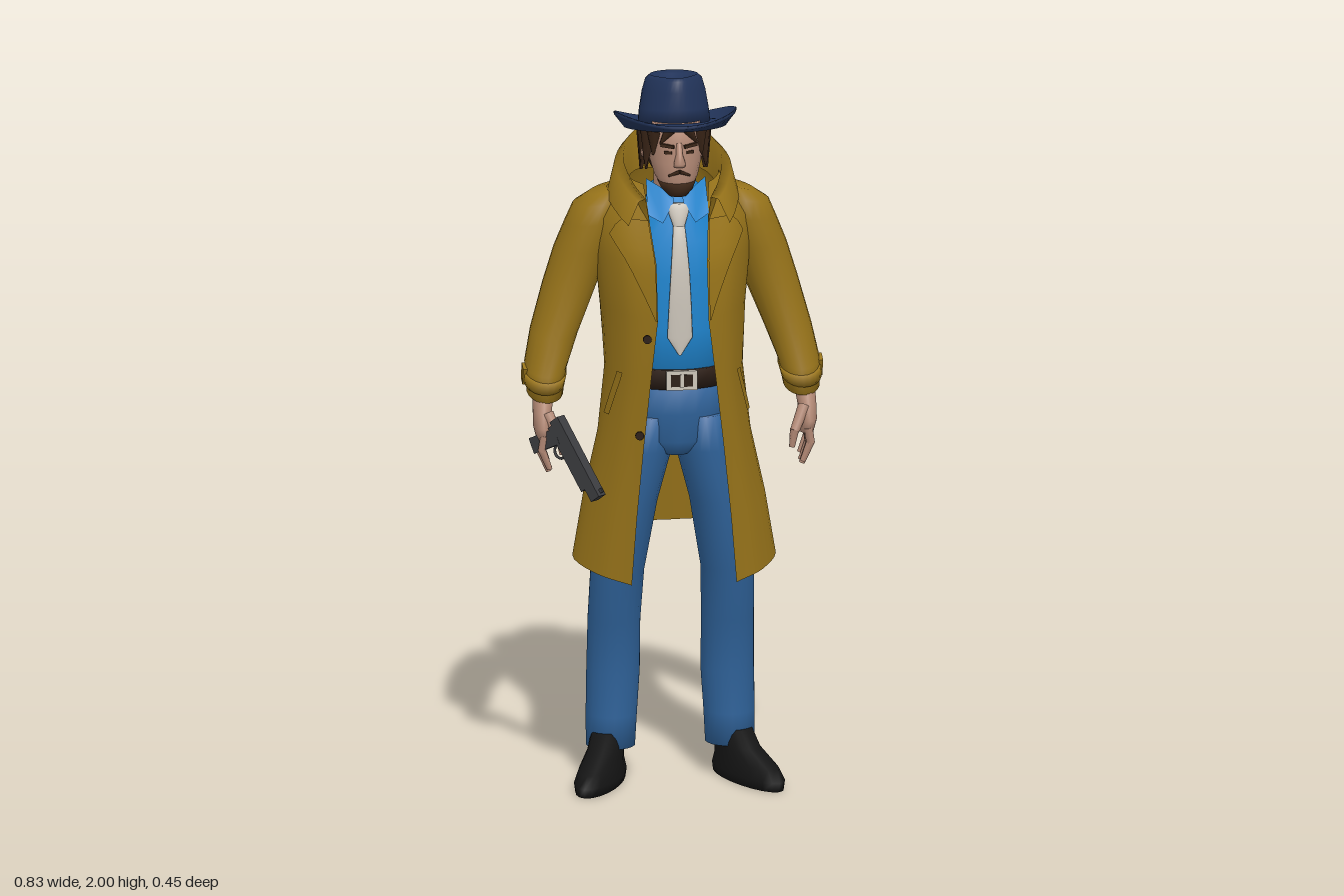
import * as THREE from 'three';

const mat = (name, color, side = THREE.FrontSide) => {
  const m = new THREE.MeshStandardMaterial({ color, side });
  m.name = name;
  return m;
};

// Smooth skin over rings of points, listed from bottom to top
function loft(rings, closed = true, caps = closed) {
  const n = rings[0].length, pos = rings.flat(2), idx = [];
  const cols = closed ? n : n - 1;
  for (let i = 0; i < rings.length - 1; i++) for (let j = 0; j < cols; j++) {
    const a = i * n + j, b = i * n + (j + 1) % n;
    idx.push(a, b, b + n, a, b + n, a + n);
  }
  if (caps) [0, rings.length - 1].forEach((r, top) => {
    const c = pos.length / 3;
    for (let k = 0; k < 3; k++) pos.push(rings[r].reduce((s, p) => s + p[k], 0) / n);
    for (let j = 0; j < n; j++) {
      const a = r * n + j, b = r * n + (j + 1) % n;
      if (top) idx.push(c, a, b); else idx.push(c, b, a);
    }
  });
  const g = new THREE.BufferGeometry();
  g.setAttribute('position', new THREE.Float32BufferAttribute(pos, 3));
  g.setIndex(idx);
  g.computeVertexNormals();
  return g;
}

// Horizontal ellipse, optionally tilted along x and z
function ring(x, y, z, rx, rz, tiltZ = 0, tiltX = 0, n = 20) {
  return Array.from({ length: n }, (_, i) => {
    const a = i / n * Math.PI * 2, dx = rx * Math.sin(a), dz = rz * Math.cos(a);
    return [x + dx, y + tiltZ * dz + tiltX * dx, z + dz];
  });
}
const stack = list => loft(list.map(r => ring(...r)));

// Coat cross-section: front edge, front corner, side, back corner, back centre, mirrored
function coatRing([yF, yB, xE, zF, xS, zS, xB, zB]) {
  const half = [[xE, zF], [xE + 0.62 * (xS - xE), zS + 0.62 * (zF - zS)], [xS, zS], [xB, zB * 0.95]];
  const pts = [...half, [0, zB], ...half.map(([x, z]) => [-x, z]).reverse()];
  const curve = new THREE.CatmullRomCurve3(pts.map(([x, z]) =>
    new THREE.Vector3(x, yB + (yF - yB) * (z - zB) / (zF - zB), z)));
  return t => curve.getPoint(t).toArray();
}
const coatLevels = [
  [0.61, 0.68, 0.145, 0.225, 0.28, 0, 0.14, -0.22],
  [0.80, 0.84, 0.13, 0.22, 0.25, 0, 0.135, -0.195],
  [1.00, 1.00, 0.11, 0.215, 0.21, 0, 0.13, -0.17],
  [1.18, 1.18, 0.09, 0.21, 0.19, -0.01, 0.13, -0.15],
  [1.35, 1.35, 0.07, 0.205, 0.20, -0.02, 0.15, -0.165],
  [1.50, 1.50, 0.07, 0.175, 0.215, -0.03, 0.15, -0.18],
  [1.60, 1.60, 0.08, 0.115, 0.22, -0.04, 0.15, -0.17],
  [1.66, 1.66, 0.085, 0.08, 0.19, -0.05, 0.13, -0.15],
  [1.70, 1.72, 0.09, 0.05, 0.13, -0.05, 0.09, -0.125],
];
const collarLevels = [
  [1.60, 1.70, 0.08, 0.115, 0.13, -0.03, 0.09, -0.125],
  [1.67, 1.82, 0.09, 0.10, 0.135, -0.03, 0.09, -0.115],
  [1.665, 1.80, 0.11, 0.11, 0.16, -0.03, 0.1, -0.125],
  [1.60, 1.71, 0.14, 0.12, 0.18, -0.03, 0.11, -0.14],
];
const sheet = levels => loft(levels.map(l => {
  const at = coatRing(l);
  return Array.from({ length: 41 }, (_, i) => at(i / 40));
}), false);

// Thin piece lying on the coat between heights v0..v1 and widths span(u)
function coatPatch(s, v0, v1, span, lift = 1.045) {
  const rows = [];
  for (let i = 0; i <= 8; i++) {
    const v = v0 + (v1 - v0) * i / 8, k = Math.min(Math.floor(v), 7);
    const at = coatRing(coatLevels[k].map((c, j) => c + (coatLevels[k + 1][j] - c) * (v - k)));
    const [a, b] = span(i / 8);
    rows.push(Array.from({ length: 7 }, (_, j) => {
      const t = a + (b - a) * j / 6, p = at(s > 0 ? t : 1 - t);
      return [p[0] * lift, p[1], p[2] * lift];
    }));
  }
  return loft(rows, false);
}

export function createModel() {
  const model = new THREE.Group();
  const M = {
    coat: mat('mustard cloth', 0x98741a, THREE.DoubleSide),
    hat: mat('navy felt', 0x22345a),
    jeans: mat('blue denim', 0x2f6299),
    shirt: mat('bright blue cotton', 0x2086d0, THREE.DoubleSide),
    tie: mat('ivory silk', 0xcdc6bb),
    skin: mat('skin', 0xb48a76),
    hair: mat('dark brown hair', 0x3a2517),
    shoe: mat('black leather', 0x141414),
    belt: mat('brown leather', 0x2b1d15),
    metal: mat('dark steel', 0x3c3d40),
  };
  const add = (name, geo, m, parent = model) => {
    const mesh = new THREE.Mesh(geo, m);
    mesh.name = name;
    parent.add(mesh);
    return mesh;
  };
  const box = (name, m, size, at, rot = [0, 0, 0], parent = model) => {
    const b = add(name, new THREE.BoxGeometry(...size), m, parent);
    b.position.set(...at);
    b.rotation.set(...rot);
    return b;
  };
  // Tapered rod from a to b
  const rod = (name, m, a, b, ra, rb) => {
    const A = new THREE.Vector3(...a), d = new THREE.Vector3(...b).sub(A);
    const r = add(name, new THREE.CylinderGeometry(rb, ra, d.length(), 8), m);
    r.position.copy(A).addScaledVector(d, 0.5);
    r.quaternion.setFromUnitVectors(new THREE.Vector3(0, 1, 0), d.normalize());
  };

  // Trousers, belt and shirt
  add('hips', stack([[0, 0.94, 0, 0.05, 0.09], [0, 0.98, 0, 0.13, 0.11], [0, 1.06, 0, 0.15, 0.12], [0, 1.15, 0, 0.15, 0.122]]), M.jeans);
  add('belt', stack([[0, 1.135, 0, 0.157, 0.132], [0, 1.19, 0, 0.157, 0.134]]), M.belt);
  box('buckle', M.tie, [0.085, 0.054, 0.008], [0.005, 1.163, 0.136]);
  box('buckleCentre', M.belt, [0.06, 0.034, 0.008], [0.005, 1.163, 0.138]);
  box('bucklePin', M.tie, [0.01, 0.036, 0.008], [0.005, 1.163, 0.14]);
  add('shirt', stack([[0, 1.15, 0, 0.15, 0.12], [0, 1.3, 0, 0.155, 0.13], [0, 1.45, 0, 0.165, 0.135],
    [0, 1.55, 0.01, 0.145, 0.115], [0, 1.63, 0.01, 0.085, 0.088], [0, 1.69, 0.01, 0.066, 0.072]]), M.shirt);
  add('tie', stack([[0, 1.235, 0.134, 0.004, 0.006], [0, 1.285, 0.136, 0.035, 0.008], [0, 1.38, 0.14, 0.031, 0.008],
    [0, 1.47, 0.142, 0.026, 0.008], [0, 1.55, 0.13, 0.02, 0.008], [0, 1.6, 0.113, 0.016, 0.008]]), M.tie);
  add('tieKnot', stack([[0, 1.595, 0.116, 0.016, 0.012], [0, 1.64, 0.105, 0.031, 0.014], [0, 1.655, 0.1, 0.026, 0.01]]), M.tie);

  // Coat
  add('coatBody', sheet(coatLevels), M.coat);
  add('coatCollar', sheet(collarLevels), M.coat);
  for (const [x, y, z] of [[-0.1, 1.3, 0.208], [-0.122, 1.03, 0.214]]) {
    const b = add('coatButton', new THREE.CylinderGeometry(0.012, 0.012, 0.008, 12), M.belt);
    b.position.set(x, y, z);
    b.rotation.x = Math.PI / 2;
  }

  for (const s of [1, -1]) {
    const side = s > 0 ? 'left' : 'right';
    const mirrored = list => stack(list.map(([x, y, z, rx, rz, tz = 0, tx = 0]) => [x * s, y, z, rx, rz, tz, tx * s]));

    // Leg and shoe
    add(side + 'Leg', mirrored([[0.165, 0.09, -0.07, 0.068, 0.075], [0.163, 0.18, -0.068, 0.071, 0.074], [0.158, 0.3, -0.07, 0.074, 0.073],
      [0.157, 0.45, -0.058, 0.073, 0.082], [0.152, 0.6, -0.025, 0.074, 0.095], [0.125, 0.8, -0.005, 0.081, 0.102],
      [0.087, 0.95, 0, 0.083, 0.108], [0.075, 1.05, 0, 0.075, 0.112]]), M.jeans);
    const shoe = add(side + 'Shoe', stack([[0, 0, 0, 0.056, 0.172], [0, 0.025, 0, 0.06, 0.175], [0, 0.055, -0.01, 0.052, 0.155],
      [0, 0.09, -0.06, 0.046, 0.1], [0, 0.135, -0.08, 0.042, 0.065]]), M.shoe);
    shoe.position.set(0.205 * s, 0, 0.02);
    shoe.rotation.y = 0.38 * s;

    // Sleeve and cuff
    add(side + 'Sleeve', mirrored([[0.355, 1.11, -0.01, 0.05, 0.062, -0.35], [0.35, 1.18, -0.035, 0.058, 0.075, -0.3],
      [0.323, 1.27, -0.06, 0.066, 0.08, -0.15], [0.278, 1.4, -0.073, 0.075, 0.085], [0.245, 1.5, -0.072, 0.077, 0.09],
      [0.215, 1.58, -0.065, 0.078, 0.09, 0, -0.1], [0.198, 1.635, -0.06, 0.073, 0.08, 0, -0.15], [0.18, 1.668, -0.055, 0.05, 0.05, 0, -0.3]]), M.coat);
    add(side + 'CuffStrap', mirrored([[0.356, 1.135, -0.018, 0.056, 0.07, -0.35], [0.352, 1.165, -0.03, 0.06, 0.077, -0.32]]), M.coat);
    box(side + 'CuffTab', M.coat, [0.012, 0.05, 0.035], [0.409 * s, 1.155, -0.03], [0.35, 0, 0]);

    // Lapel and slanted pocket
    add(side + 'Lapel', coatPatch(s, 4, 6.2, u => [0, u < 0.75 ? 0.005 + u * 0.19 : 0.147 - (u - 0.75) * 0.22]), M.coat);
    add(side + 'Pocket', coatPatch(s, 2.35, 3.05, u => [0.165 - u * 0.04, 0.19 - u * 0.04]), M.coat);

    // Shirt collar wing
    add(side + 'ShirtCollar', loft([
      [[0.015 * s, 1.655, 0.108], [0.045 * s, 1.605, 0.122], [0.085 * s, 1.625, 0.1]],
      [[0.012 * s, 1.67, 0.092], [0.05 * s, 1.70, 0.078], [0.082 * s, 1.715, 0.045]]], false), M.shirt);

    // Hand
    add(side + 'Hand', mirrored([[0.363, 0.985, 0.03, 0.02, 0.042], [0.368, 1.02, 0.032, 0.024, 0.046],
      [0.366, 1.06, 0.022, 0.026, 0.04], [0.36, 1.13, 0, 0.03, 0.035]]), M.skin);
    for (let i = 0; i < 4; i++) {
      const z = -0.002 + i * 0.022, drop = [0.02, 0.004, 0, 0.01][i];
      rod(side + 'Finger', M.skin, [0.364 * s, 1.0, z], [0.372 * s, 0.945 + drop, z * 0.95], 0.0125, 0.0115);
      rod(side + 'FingerTip', M.skin, [0.372 * s, 0.95 + drop, z * 0.95], [0.35 * s, 0.895 + drop, z * 0.9], 0.0115, 0.008);
    }
    rod(side + 'Thumb', M.skin, [0.355 * s, 1.06, 0.05], [0.325 * s, 0.995, 0.078], 0.017, 0.013);
    rod(side + 'ThumbTip', M.skin, [0.325 * s, 1.0, 0.077], [0.318 * s, 0.95, 0.076], 0.013, 0.008);

    // Facial features and side hair
    box(side + 'Eye', M.hair, [0.022, 0.008, 0.008], [0.03 * s, 1.803, 0.114], [0, 0.35 * s, 0]);
    box(side + 'Brow', M.hair, [0.038, 0.009, 0.009], [0.032 * s, 1.822, 0.116], [0, 0.35 * s, 0.12 * s]);
    rod(side + 'Moustache', M.hair, [0, 1.752, 0.132], [0.03 * s, 1.738, 0.119], 0.006, 0.003);
    add(side + 'Ear', new THREE.SphereGeometry(0.018, 8, 6), M.skin).position.set(0.077 * s, 1.785, 0.03);
    [[0.06, 0.075, 1.79], [0.074, 0.045, 1.75], [0.08, 0.015, 1.735], [0.078, -0.02, 1.725], [0.06, -0.055, 1.715], [0.025, -0.08, 1.71]]
      .forEach(([x, z, y]) => rod(side + 'HairLock', M.hair, [x * s, 1.855, z], [x * 1.13 * s, y, z * 1.08], 0.024, 0.003));
    rod(side + 'Fringe', M.hair, [0.025 * s, 1.868, 0.115], [0.052 * s, 1.826, 0.11], 0.016, 0.002);
  }

  // Head
  add('neck', stack([[0, 1.6, 0, 0.058, 0.06], [0, 1.76, 0.015, 0.056, 0.06]]), M.skin);
  add('head', stack([[0, 1.685, 0.085, 0.026, 0.03], [0, 1.7, 0.075, 0.043, 0.046], [0, 1.73, 0.056, 0.06, 0.069],
    [0, 1.77, 0.038, 0.071, 0.09], [0, 1.82, 0.027, 0.076, 0.094], [0, 1.88, 0.022, 0.075, 0.098]]), M.skin);
  add('nose', stack([[0, 1.765, 0.126, 0.016, 0.014], [0, 1.776, 0.132, 0.016, 0.022], [0, 1.8, 0.122, 0.009, 0.016], [0, 1.83, 0.115, 0.008, 0.008]]), M.skin);
  add('beard', stack([[0, 1.677, 0.085, 0.026, 0.032], [0, 1.694, 0.076, 0.043, 0.051], [0, 1.716, 0.063, 0.054, 0.062]]), M.hair);
  add('hair', stack([[0, 1.735, -0.01, 0.06, 0.065], [0, 1.77, -0.005, 0.078, 0.078], [0, 1.83, 0, 0.084, 0.086], [0, 1.88, 0, 0.084, 0.09]]), M.hair);

  // Hat: brim curled up at the sides, crown pinched at the front with a dented top
  const brim = (rx, rz, y, curl) => ring(0.003, y, 0.01, rx, rz, 0.165, 0, 36)
    .map(([x, h, z]) => [x, h + curl * (x / 0.17) ** 2, z]);
  add('hatBrim', loft([brim(0.085, 0.1, 1.85, 0), brim(0.14, 0.15, 1.846, 0.01), brim(0.167, 0.18, 1.855, 0.036),
    brim(0.169, 0.183, 1.861, 0.038), brim(0.165, 0.178, 1.865, 0.037), brim(0.138, 0.148, 1.858, 0.012), brim(0.095, 0.105, 1.866, 0)], true, false), M.hat);
  const crown = (y, rx, rz, tilt, pinch) => ring(0.003, y, -0.012, rx, rz, tilt, 0, 36)
    .map(([x, h, z]) => [x * (1 - pinch * THREE.MathUtils.smoothstep(z, -0.03, 0.09)), h, z]);
  add('hatCrown', loft([crown(1.855, 0.1, 0.108, 0.165, 0), crown(1.9, 0.096, 0.106, 0.14, 0.08), crown(1.95, 0.088, 0.1, 0.12, 0.25),
    crown(1.982, 0.079, 0.091, 0.11, 0.35), crown(1.993, 0.067, 0.078, 0.09, 0.4), crown(1.984, 0.045, 0.06, 0.08, 0.4), crown(1.968, 0.015, 0.04, 0.05, 0.2)]), M.hat);

  // Pistol held low in the right hand
  const gun = new THREE.Group();
  gun.name = 'pistol';
  gun.position.set(-0.288, 0.948, 0.135);
  gun.lookAt(-0.178, 0.728, 0.255);
  model.add(gun);
  box('slide', M.metal, [0.03, 0.034, 0.25], [0, 0.008, 0], [0, 0, 0], gun);
  box('frame', M.metal, [0.025, 0.02, 0.2], [0, -0.016, -0.015], [0, 0, 0], gun);
  box('grip', M.metal, [0.026, 0.1, 0.045], [0, -0.06, -0.092], [0.2, 0, 0], gun);
  box('frontSight', M.metal, [0.006, 0.01, 0.012], [0, 0.029, 0.112], [0, 0, 0], gun);
  const guard = add('triggerGuard', new THREE.TorusGeometry(0.02, 0.004, 6, 14), M.metal, gun);
  guard.position.set(0, -0.036, -0.045);
  guard.rotation.y = Math.PI / 2;

  return model;
}
